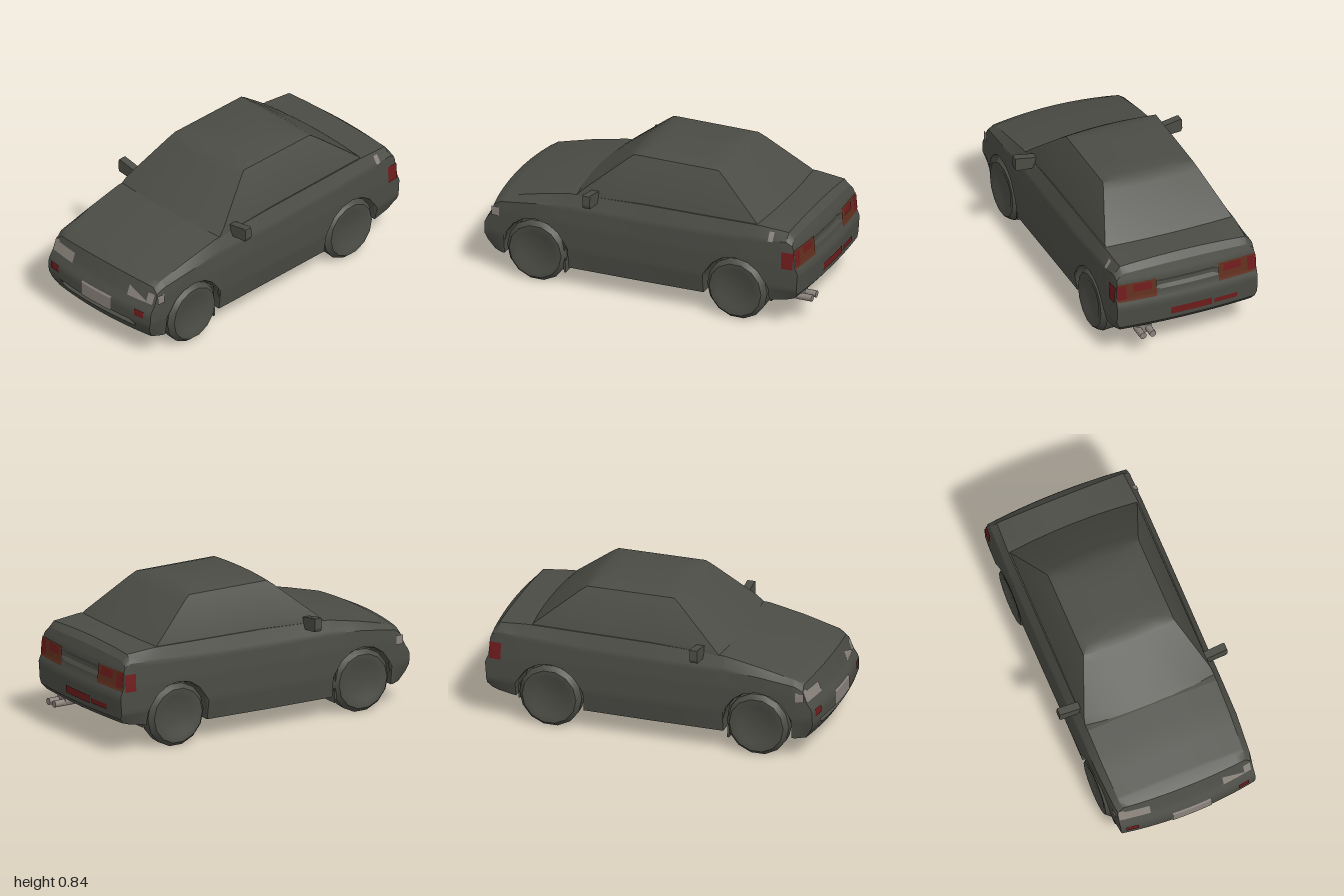
import * as THREE from 'three';
import { toCreasedNormals } from 'three/addons/utils/BufferGeometryUtils.js';

const flat = (color, name) => Object.assign(new THREE.MeshStandardMaterial({ color }), { name });
const steps = (a, b, n) => Array.from({ length: n + 1 }, (_, i) => a + (b - a) * i / n);

// linear lookup in a table whose rows start with an ascending key
function lookup(table, key) {
  let i = 1;
  while (i < table.length - 1 && key > table[i][0]) i++;
  const a = table[i - 1], b = table[i];
  const t = THREE.MathUtils.clamp((key - a[0]) / (b[0] - a[0] || 1), 0, 1);
  return a.map((v, j) => v + (b[j] - v) * t);
}

// surface through rows of points; rows x columns gives the outward side
function skin(rows, closed = false, crease = 0.5) {
  const n = rows[0].length, index = [];
  for (let k = 0; k < rows.length - 1; k++) {
    for (let i = 0; i < (closed ? n : n - 1); i++) {
      const j = (i + 1) % n, a = k * n + i, b = k * n + j;
      index.push(a, a + n, b + n, a, b + n, b);
    }
  }
  const geo = new THREE.BufferGeometry();
  geo.setAttribute('position', new THREE.Float32BufferAttribute(rows.flat(2), 3));
  geo.setIndex(index);
  return toCreasedNormals(geo, crease);
}

// z, floor, lip half-width, side half-width, shoulder y, half-width, top edge y, half-width, centre y
const SECTIONS = [
  [-0.96, 0.19, 0.40, 0.43, 0.52, 0.42, 0.55, 0.38, 0.565],
  [-0.90, 0.18, 0.41, 0.435, 0.54, 0.425, 0.585, 0.385, 0.60],
  [-0.72, 0.15, 0.42, 0.44, 0.53, 0.43, 0.60, 0.395, 0.605],
  [-0.40, 0.13, 0.42, 0.44, 0.51, 0.433, 0.595, 0.395, 0.60],
  [0.00, 0.125, 0.42, 0.44, 0.50, 0.433, 0.59, 0.395, 0.60],
  [0.44, 0.125, 0.425, 0.44, 0.50, 0.43, 0.57, 0.392, 0.59],
  [0.64, 0.13, 0.42, 0.435, 0.485, 0.43, 0.53, 0.39, 0.55],
  [0.86, 0.13, 0.405, 0.42, 0.45, 0.415, 0.475, 0.38, 0.495],
  [0.96, 0.13, 0.37, 0.41, 0.42, 0.405, 0.45, 0.37, 0.465],
];
const AXLES = [0.64, -0.59], ARCH = 0.2;

// bumper profiles, with an air intake slot in front and a plate recess behind
const NOSE = [[0.13, 0.945], [0.19, 0.985], [0.23, 1.0], [0.31, 1.0], [0.345, 0.975], [0.36, 0.965], [0.46, 0.927], [0.5, 0.91]];
const nose = (x, y) => lookup(NOSE, y)[1] - 0.035 * (x / 0.4) ** 2
  - (Math.abs(x) < 0.26 && y > 0.195 && y < 0.225 ? 0.035 : 0);
const TAIL = [[0.18, -0.95], [0.22, -0.985], [0.36, -0.995], [0.39, -0.975], [0.5, -0.965], [0.57, -0.94]];
const tail = (x, y) => lookup(TAIL, y)[1] + 0.02 * (x / 0.4) ** 2
  + (Math.abs(x) < 0.17 && y > 0.43 && y < 0.47 ? 0.012 : 0);

// height of the floor, or of the wheel arch
function lipHeight(z, floor) {
  const d = Math.min(...AXLES.map((c) => Math.abs(z - c)));
  return d < ARCH ? 0.185 + Math.sqrt(ARCH * ARCH - d * d) : floor;
}

// flank from the lip up to the top edge, finely divided
function flank(z) {
  const [, f, wl, w, sy, sw, ty, tw] = lookup(SECTIONS, z);
  const lip = lipHeight(z, f);
  const p = [[wl, lip], [w, Math.max(0.25, lip + 0.006)], [w, 0.4], [sw, sy], [tw, ty]];
  const out = [p[0]];
  for (let i = 0; i < 4; i++) {
    for (const t of steps(0, 1, 6).slice(1)) out.push(p[i].map((v, j) => v + (p[i + 1][j] - v) * t));
  }
  return out;
}
const sideX = (z, y) => lookup(flank(z).map(([x, h]) => [h, x]), y)[1];
const topY = (z, u) => {
  const s = lookup(SECTIONS, z);
  return s[6] + (s[8] - s[6]) * (1 - u * u);
};

// half of a body cross-section, from the floor centre to the top centre
function halfRing(z) {
  const [, f, , , , , , tw] = lookup(SECTIONS, z);
  const tunnel = Math.abs(z) < 0.8 ? 0.06 : 0;
  return [[0, f + tunnel], [0.11, f + tunnel], [0.15, f], [0.27, f], [0.27, lipHeight(z, f)], ...flank(z),
    ...steps(1, 0, 8).slice(1).map((u) => [u * tw, topY(z, u)])];
}

function bodyShell() {
  const zs = [0.96, 0.86, 0.44, 0.2, 0, -0.2, -0.82, -0.9, -0.96];
  for (const c of AXLES) for (const d of [0.201, 0.199, 0.18, 0.14, 0.08, 0]) zs.push(c + d, ...(d ? [c - d] : []));
  zs.sort((a, b) => b - a);
  return skin(zs.map((z) => {
    const half = halfRing(z);
    const ring = [...half, ...half.slice(1, -1).reverse().map(([x, y]) => [-x, y])];
    return ring.map(([x, y]) => [x, y, z === 0.96 ? nose(x, y) : z === -0.96 ? tail(x, y) : z]);
  }), true);
}

// front or rear face, closing the shell
function endFace(z, depth) {
  const us = z > 0 ? steps(1, -1, 16) : steps(-1, 1, 16);
  const side = flank(z), tw = side.at(-1)[0];
  const rows = side.map(([w, y]) => us.map((u) => [u * w, y]));
  rows.push(us.map((u) => [u * tw, topY(z, u)]));
  return skin(rows.map((row) => row.map(([x, y]) => [x, y, depth(x, y)])));
}

// cabin: y, half-width, front z, rear z, bow of the glass
const CABIN = [
  [0.565, 0.395, 0.47, -0.77, 0.06], [0.61, 0.385, 0.405, -0.72, 0.04], [0.80, 0.292, 0.165, -0.475, 0.025],
  [0.83, 0.276, 0.12, -0.43, 0.02], [0.842, 0.23, 0.06, -0.39, 0.01], [0.846, 0, 0.0, -0.3, 0]];
const cabinShell = () => skin(CABIN.map(([y, w, zf, zr, bow]) => [
  ...steps(-1, 1, 6).map((u) => [u * w, y, zr + bow * 0.6 * u * u]),
  ...steps(zr + bow, zf - bow, 4).slice(1, -1).map((z) => [w, y, z]),
  ...steps(1, -1, 6).map((u) => [u * w, y, zf - bow * u * u]),
  ...steps(zf - bow, zr + bow, 4).slice(1, -1).map((z) => [-w, y, z]),
]), true, 0.45);

// thin painted patches that follow the front, rear or side surface
function endPatch(depth, x0, x1, y0, y1, y1b = y1, lift = 0.005) {
  const s = depth === nose ? 1 : -1;
  const us = s > 0 ? steps(1, 0, 6) : steps(0, 1, 6);
  return skin(steps(0, 1, 8).map((v) => us.map((u) => {
    const x = x0 + (x1 - x0) * u, y = y0 + (y1 + (y1b - y1) * u - y0) * v;
    return [x, y, depth(x, y) + s * lift];
  })));
}
function sidePatch(s, z0, z1, y0, y1) {
  const zs = s > 0 ? steps(z0, z1, 4) : steps(z1, z0, 4);
  return skin(steps(y0, y1, 4).map((y) => zs.map((z) => [s * (sideX(z, y) + 0.006), y, z])));
}

export function createModel() {
  const car = new THREE.Group();
  car.name = 'car';
  const paint = flat(0x4b4c45, 'dark paint'), red = flat(0x701c1c, 'lamp red');
  const grey = flat(0x8a827b, 'pale grey'), rust = flat(0x62301f, 'rust brown');
  const add = (name, geo, mat, x = 0, y = 0, z = 0) => {
    const mesh = new THREE.Mesh(geo, mat);
    mesh.name = name;
    mesh.position.set(x, y, z);
    car.add(mesh);
    return mesh;
  };

  // body and cabin
  add('body', bodyShell(), paint);
  add('frontFace', endFace(0.96, nose), paint);
  add('rearFace', endFace(-0.96, tail), paint);
  add('cabin', cabinShell(), paint);

  // front lamps and plate
  add('headlightRightOuter', endPatch(nose, -0.405, -0.37, 0.362, 0.43), grey);
  add('headlightRight', endPatch(nose, -0.37, -0.225, 0.363, 0.42), grey);
  add('headlightLeft', endPatch(nose, 0.218, 0.35, 0.36, 0.418, 0.37), grey);
  add('cornerLampLeft', endPatch(nose, 0.352, 0.395, 0.36, 0.418), grey);
  add('frontPlate', endPatch(nose, -0.11, 0.128, 0.23, 0.32), grey);
  add('indicatorRight', endPatch(nose, -0.38, -0.31, 0.272, 0.314), red);
  add('indicatorLeft', endPatch(nose, 0.3, 0.365, 0.272, 0.314), red);

  // rear lamps and bumper reflectors
  for (const s of [1, -1]) {
    const across = (a, b) => (s > 0 ? [a, b] : [-b, -a]);
    add('rearLampSurround', endPatch(tail, ...across(0.19, 0.425), 0.385, 0.495), rust);
    add('rearLampOuter', endPatch(tail, ...across(0.37, 0.426), 0.4, 0.485, 0.485, 0.008), red);
    add('rearLampInner', endPatch(tail, ...across(0.22, 0.33), 0.44, 0.485, 0.485, 0.008), red);
    add('rearLampSide', sidePatch(s, -0.945, -0.875, 0.38, 0.48), red);
    add('headlightSide', sidePatch(s, 0.867, 0.915, 0.362, 0.415), grey);
  }
  add('bumperReflector', endPatch(tail, -0.14, 0.11, 0.25, 0.295), red);
  add('bumperReflectorSmall', endPatch(tail, -0.3, -0.155, 0.255, 0.285), red);
  add('fuelFlapMark', sidePatch(1, -0.82, -0.79, 0.53, 0.58), grey);

  // wheels, mirrors and mud flaps
  const tyre = [[0, -0.06], [0.15, -0.06], [0.18, -0.045], [0.185, 0.03], [0.16, 0.06], [0.125, 0.058], [0.1, 0.047], [0, 0.052]];
  const wheelGeo = toCreasedNormals(new THREE.LatheGeometry(tyre.map((p) => new THREE.Vector2(...p)), 14), 0.6);
  const mirrorShape = (s) => new THREE.Shape([[0.375, 0.545], [0.505, 0.555], [0.513, 0.575], [0.51, 0.632], [0.5, 0.635], [0.375, 0.612]]
    .map(([x, y]) => new THREE.Vector2(s * x, y)));
  for (const s of [1, -1]) {
    for (const z of AXLES) add(z > 0 ? 'frontWheel' : 'rearWheel', wheelGeo, paint, s * 0.375, 0.188, z).rotation.z = -s * Math.PI / 2;
    add('mirror', new THREE.ExtrudeGeometry(mirrorShape(s), { depth: 0.045, bevelEnabled: false }), paint, 0, 0, 0.27);
    add('frontMudFlap', new THREE.BoxGeometry(0.17, 0.2, 0.012), paint, s * 0.33, 0.185, 0.472).rotation.x = 0.06;
    add('rearMudFlap', new THREE.BoxGeometry(0.08, 0.09, 0.012), paint, s * 0.34, 0.18, -0.785);
  }

  // running gear and exhaust
  for (const z of AXLES) add('axle', new THREE.CylinderGeometry(0.02, 0.02, 0.66, 8), paint, 0, 0.17, z).rotation.z = Math.PI / 2;
  add('crossMember', new THREE.BoxGeometry(0.42, 0.012, 0.025), rust, 0, 0.133, 0.53);
  add('gearbox', new THREE.BoxGeometry(0.1, 0.04, 0.14), rust, 0.0, 0.17, 0.25);
  add('differential', new THREE.BoxGeometry(0.1, 0.05, 0.06), rust, -0.03, 0.16, -0.42);
  const path = new THREE.CatmullRomCurve3([[0.04, 0.165, 0.3], [0.05, 0.165, 0], [0.07, 0.15, -0.45], [0.2, 0.14, -0.65], [0.25, 0.155, -0.78]]
    .map((p) => new THREE.Vector3(...p)));
  add('exhaustPipe', new THREE.TubeGeometry(path, 24, 0.012, 8), grey);
  add('catalyst', new THREE.CylinderGeometry(0.03, 0.03, 0.12, 10), grey, 0.05, 0.165, 0.08).rotation.x = Math.PI / 2;
  const muffler = add('muffler', new THREE.CylinderGeometry(0.034, 0.034, 0.17, 10), grey, 0.25, 0.16, -0.85);
  muffler.rotation.x = Math.PI / 2;
  muffler.scale.x = 1.4;
  for (const x of [0.225, 0.285]) {
    add('tailpipe', new THREE.CylinderGeometry(0.02, 0.02, 0.1, 10), grey, x, 0.152, -0.95).rotation.x = Math.PI / 2;
  }
  return car;
}
